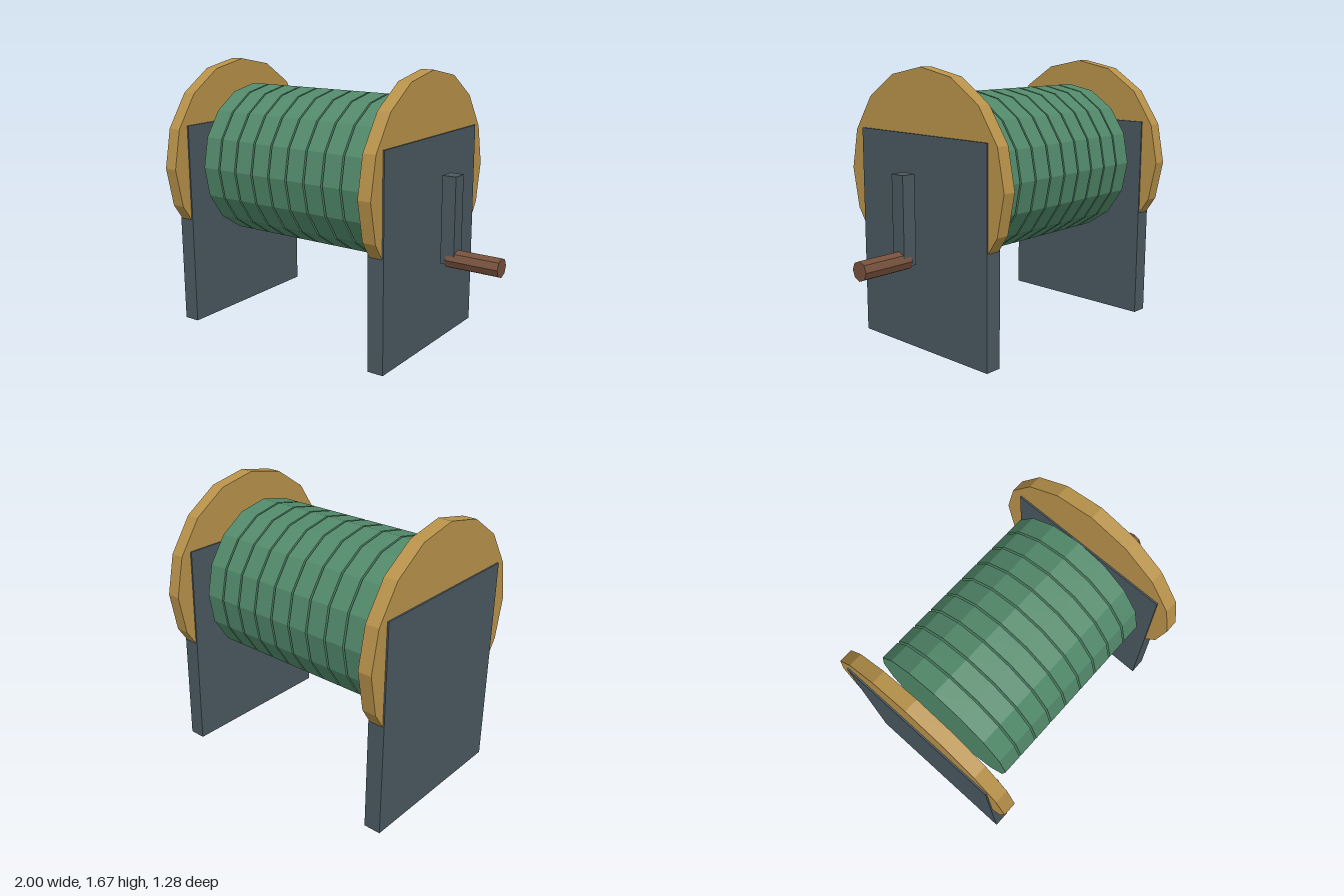
import * as THREE from 'three';

const AXIS_Y = 1.027;

const paint = (color) => {
  const m = new THREE.MeshStandardMaterial({ flatShading: true });
  m.color.set(color);
  return m;
};

export function createModel() {
  const group = new THREE.Group();
  const slate = paint(0x4a5860);
  const gold = paint(0xb8924a);
  const green = paint(0x52896a);
  const brown = paint(0x75503c);

  const add = (name, geometry, material, x, y) => {
    const mesh = new THREE.Mesh(geometry, material);
    mesh.name = name;
    mesh.position.set(x, y, 0);
    group.add(mesh);
  };
  // Cylinder lying along x
  const disc = (radius, width, sides) =>
    new THREE.CylinderGeometry(radius, radius, width, sides).rotateZ(Math.PI / 2);

  // Upright boards with the round flanges set into them
  for (const [side, x] of [['right', -0.949], ['left', 0.493]]) {
    add(side + 'Stand', new THREE.BoxGeometry(0.103, 1.287, 1.05), slate, x, 1.287 / 2);
    add(side + 'Flange', disc(0.64, 0.084, 16), gold, x, AXIS_Y);
  }

  // Coils wound side by side with narrow gaps
  for (let i = 0; i < 9; i++) {
    add('coil' + (i + 1), disc(0.485, 0.119, 16), green, -0.753 + i * 0.131, AXIS_Y);
  }

  // Crank arm and grip
  add('crankArm', new THREE.BoxGeometry(0.087, 0.527, 0.094), slate, 0.676, 0.815);
  add('crankHandle', disc(0.058, 0.334, 8), brown, 0.833, 0.579);

  return group;
}
